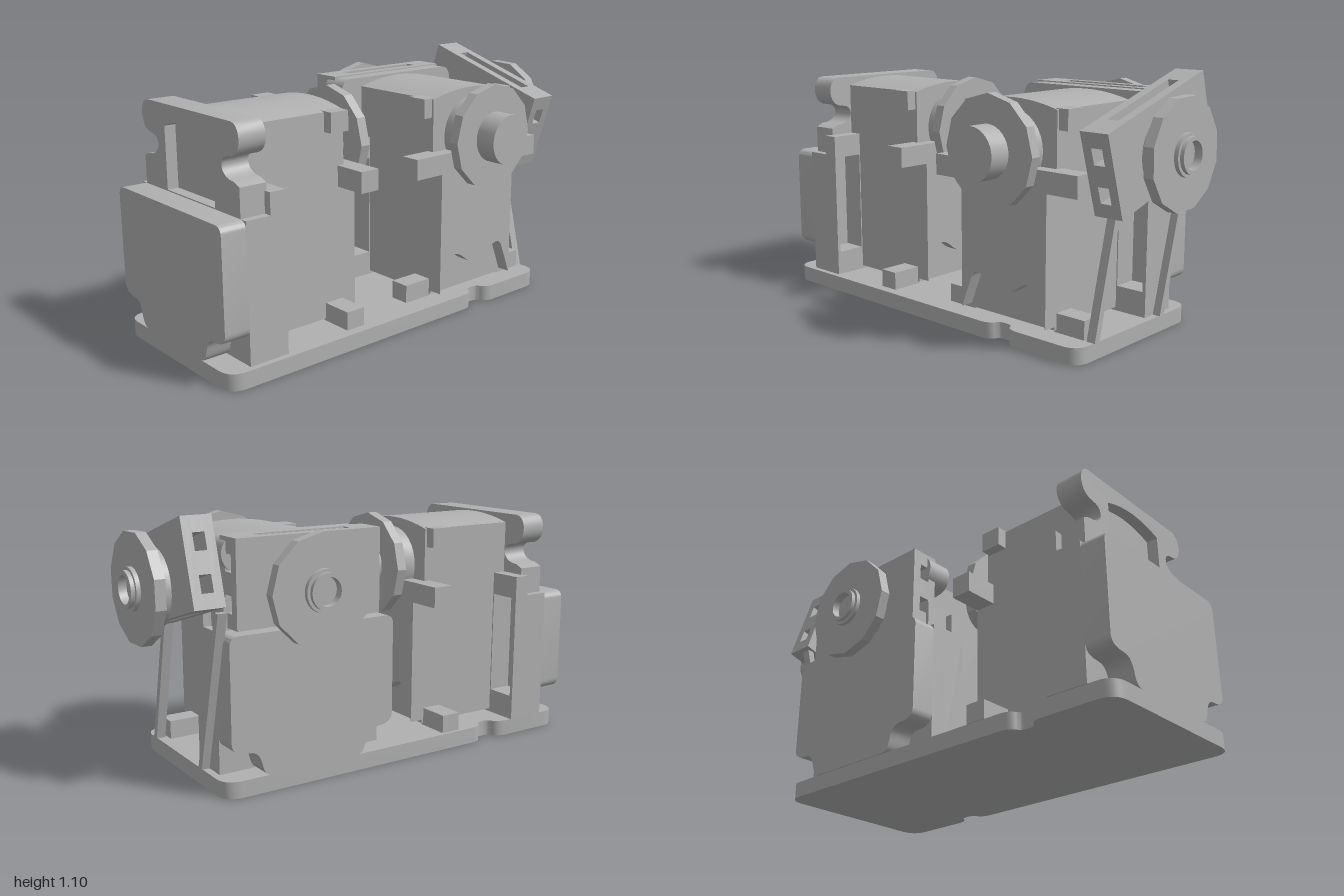
import * as THREE from 'three';
import { toCreasedNormals } from 'three/addons/utils/BufferGeometryUtils.js';

const grey = new THREE.MeshStandardMaterial({ color: 0xb0b0b0 });
grey.name = 'plain grey';

function add(parent, name, geo) {
  const m = new THREE.Mesh(geo, grey);
  m.name = name;
  parent.add(m);
  return m;
}

// Box given by its limits
function box(parent, name, x0, x1, y0, y1, z0, z1) {
  const g = new THREE.BoxGeometry(x1 - x0, y1 - y0, z1 - z0);
  g.translate((x0 + x1) / 2, (y0 + y1) / 2, (z0 + z1) / 2);
  return add(parent, name, g);
}

// Outline pushed from z0 to z1
function slab(parent, name, shape, z0, z1) {
  const g = new THREE.ExtrudeGeometry(shape, { depth: z1 - z0, bevelEnabled: false, curveSegments: 10 });
  g.translate(0, 0, z0);
  return add(parent, name, toCreasedNormals(g, 0.5));
}

// Disc along z centred on the shaft height
const AXIS = 0.8;
function disc(parent, name, r, z0, z1, sides = 32) {
  const g = new THREE.CylinderGeometry(r, r, z1 - z0, sides);
  g.rotateX(Math.PI / 2);
  g.translate(0, AXIS, (z0 + z1) / 2);
  return add(parent, name, toCreasedNormals(g, 0.4));
}

function poly(pts) {
  return new THREE.Shape(pts.map((p) => new THREE.Vector2(p[0], p[1])));
}

// Front cover with rounded top corners and scooped lower corners
function coverShape() {
  const s = new THREE.Shape();
  s.moveTo(-0.2, 0.07);
  s.lineTo(0.2, 0.07);
  s.bezierCurveTo(0.27, 0.07, 0.22, 0.18, 0.31, 0.18);
  s.quadraticCurveTo(0.38, 0.18, 0.38, 0.23);
  s.lineTo(0.38, 0.61);
  s.quadraticCurveTo(0.38, 0.65, 0.34, 0.65);
  s.lineTo(-0.34, 0.65);
  s.quadraticCurveTo(-0.38, 0.65, -0.38, 0.61);
  s.lineTo(-0.38, 0.23);
  s.quadraticCurveTo(-0.38, 0.18, -0.31, 0.18);
  s.bezierCurveTo(-0.22, 0.18, -0.27, 0.07, -0.2, 0.07);
  return s;
}

// Upright flange with round ears, side bites and an arched window
function flangeShape() {
  const s = new THREE.Shape();
  s.moveTo(-0.345, 0.65);
  s.lineTo(0.345, 0.65);
  s.lineTo(0.345, 0.77);
  s.lineTo(0.31, 0.785);
  s.bezierCurveTo(0.21, 0.785, 0.21, 0.875, 0.28, 0.875);
  s.bezierCurveTo(0.37, 0.875, 0.37, 1.01, 0.3, 1.01);
  s.lineTo(-0.3, 1.01);
  s.bezierCurveTo(-0.37, 1.01, -0.37, 0.875, -0.28, 0.875);
  s.bezierCurveTo(-0.21, 0.875, -0.21, 0.785, -0.31, 0.785);
  s.lineTo(-0.345, 0.77);
  s.closePath();
  const h = new THREE.Path();
  h.moveTo(-0.175, 0.655);
  h.lineTo(-0.175, 0.92);
  h.quadraticCurveTo(-0.1, 0.95, 0, 0.952);
  h.quadraticCurveTo(0.1, 0.95, 0.175, 0.92);
  h.lineTo(0.175, 0.655);
  h.closePath();
  s.holes.push(h);
  return s;
}

// Motor unit with its shaft pointing to -z
function motor(name) {
  const g = new THREE.Group();
  g.name = name;

  // Body with a gently arched roof
  const body = new THREE.Shape();
  body.moveTo(-0.23, 0.085);
  body.lineTo(0.23, 0.085);
  body.lineTo(0.23, 0.97);
  body.quadraticCurveTo(0, 1.035, -0.23, 0.97);
  body.closePath();
  slab(g, 'motorBody', body, 0.3, 0.84);

  // Gear face with a lobed lower edge
  const face = new THREE.Shape();
  face.moveTo(-0.23, 0.1);
  face.quadraticCurveTo(-0.2, 0.18, -0.17, 0.25);
  face.quadraticCurveTo(-0.14, 0.29, -0.08, 0.24);
  face.quadraticCurveTo(0, 0.17, 0.08, 0.24);
  face.quadraticCurveTo(0.14, 0.29, 0.17, 0.25);
  face.quadraticCurveTo(0.2, 0.18, 0.23, 0.1);
  face.lineTo(0.23, 0.74);
  face.lineTo(-0.23, 0.74);
  face.closePath();
  slab(g, 'gearFace', face, 0.24, 0.3);
  disc(g, 'shaftBoss', 0.16, 0.24, 0.3);

  // Cover, pocketed rear frame and shoulders
  slab(g, 'frontCover', coverShape(), 0.89, 1.0);
  box(g, 'coverBack', -0.38, 0.38, 0.07, 0.65, 0.82, 0.89);
  const frame = poly([[-0.38, 0.07], [0.38, 0.07], [0.38, 0.65], [-0.38, 0.65]]);
  for (const s of [-1, 1]) {
    const p = [[0.235, 0.18], [0.365, 0.18], [0.365, 0.64], [0.235, 0.64]];
    frame.holes.push(new THREE.Path(p.map(([x, y]) => new THREE.Vector2(s * x, y))));
  }
  slab(g, 'pocketFrame', frame, 0.71, 0.82);
  box(g, 'shoulder', -0.38, 0.38, 0.65, 0.74, 0.71, 0.78);
  slab(g, 'flange', flangeShape(), 0.77, 0.89);

  // Mounting tabs on both sides
  for (const s of [-1, 1]) {
    const tab = (label, u0, u1, ...rest) =>
      box(g, label, Math.min(s * u0, s * u1), Math.max(s * u0, s * u1), ...rest);
    tab('middleTab', 0.22, 0.38, 0.65, 0.74, 0.24, 0.33);
    tab('topTab', 0.17, 0.275, 0.89, 0.975, 0.31, 0.4);
    tab('bottomTab', 0.22, 0.37, 0.075, 0.155, 0.31, 0.4);
  }

  // Output shaft and horn
  disc(g, 'shaft', 0.085, 0.19, 0.25);
  disc(g, 'horn', 0.23, 0.155, 0.2, 12);
  disc(g, 'hornHub', 0.11, 0.06, 0.155);
  return g;
}

// Bracket with a hollow middle layer and a free-turning wheel, facing +z
function idler(name) {
  const g = new THREE.Group();
  g.name = name;
  const plate = new THREE.Group();
  plate.name = 'bracket';
  g.add(plate);
  box(plate, 'innerPlate', -0.33, 0.33, 0.66, 1.015, 0, 0.04);
  box(plate, 'outerPlate', -0.33, 0.33, 0.66, 1.015, 0.09, 0.13);
  for (const s of [-1, 1]) {
    for (const [y0, y1] of [[0.66, 0.72], [0.79, 0.88], [0.95, 1.015]]) {
      const c = s * 0.27;
      box(plate, 'spacer', c - 0.06, c + 0.06, y0, y1, 0.04, 0.09);
    }
  }
  disc(g, 'washer', 0.16, 0.12, 0.18);
  disc(g, 'idlerWheel', 0.23, 0.18, 0.225, 12);
  // Bored hub
  const profile = [[0.058, 0.22], [0.058, 0.26], [0.075, 0.26], [0.075, 0.243], [0.088, 0.243], [0.088, 0.22]];
  const hub = new THREE.LatheGeometry(profile.reverse().map((p) => new THREE.Vector2(p[0], p[1])), 32);
  hub.rotateX(Math.PI / 2);
  hub.translate(0, AXIS, 0);
  add(g, 'idlerHub', toCreasedNormals(hub, 0.5));
  return g;
}

export function createModel() {
  const root = new THREE.Group();
  root.name = 'twinMotorJoint';

  // Base plate with rounded corners and one edge notch on each side
  const b = new THREE.Shape();
  const x0 = -0.415, x1 = 0.365, s0 = -1.0, s1 = 0.77, r = 0.08;
  b.moveTo(x0 + r, s0);
  b.lineTo(x1 - r, s0);
  b.quadraticCurveTo(x1, s0, x1, s0 + r);
  b.lineTo(x1, 0.27);
  b.bezierCurveTo(x1 - 0.01, 0.34, x1 - 0.05, 0.3, x1 - 0.05, 0.36);
  b.bezierCurveTo(x1 - 0.05, 0.42, x1 - 0.01, 0.38, x1, 0.45);
  b.lineTo(x1, s1 - r);
  b.quadraticCurveTo(x1, s1, x1 - r, s1);
  b.lineTo(x0 + r, s1);
  b.quadraticCurveTo(x0, s1, x0, s1 - r);
  b.lineTo(x0, -0.49);
  b.bezierCurveTo(x0 + 0.01, -0.56, x0 + 0.05, -0.52, x0 + 0.05, -0.58);
  b.bezierCurveTo(x0 + 0.05, -0.64, x0 + 0.01, -0.6, x0, -0.67);
  b.lineTo(x0, s0 + r);
  b.quadraticCurveTo(x0, s0, x0 + r, s0);
  slab(root, 'basePlate', b, 0, 0.07).rotation.x = -Math.PI / 2;

  // Front motor faces the back, rear motor faces the left
  const front = motor('frontMotor');
  front.position.x = -0.04;
  root.add(front);
  const rear = motor('rearMotor');
  rear.rotation.y = -Math.PI / 2;
  rear.position.set(0.58, 0, -0.36);
  root.add(rear);

  // Idler on the right of the rear motor
  const side = idler('sideIdler');
  side.rotation.y = -Math.PI / 2;
  side.position.set(-0.26, 0, -0.36);
  root.add(side);

  // Tilted idler at the back
  const back = idler('backIdler');
  back.rotation.y = Math.PI;
  const tilt = new THREE.Group();
  tilt.name = 'tiltedBracket';
  back.position.y = -AXIS;
  tilt.add(back);
  tilt.position.set(-0.045, AXIS, -0.74);
  tilt.rotation.z = -0.297;
  root.add(tilt);

  // Leaning ribs under the tilted bracket
  for (const [top, foot, y] of [[-0.4, -0.22, 0.74], [0.09, 0.23, 0.64]]) {
    const rib = poly([[foot, 0.07], [foot + 0.03, 0.07], [top + 0.03, y], [top, y]]);
    slab(root, 'leaningRib', rib, -0.775, -0.735);
  }
  return root;
}
